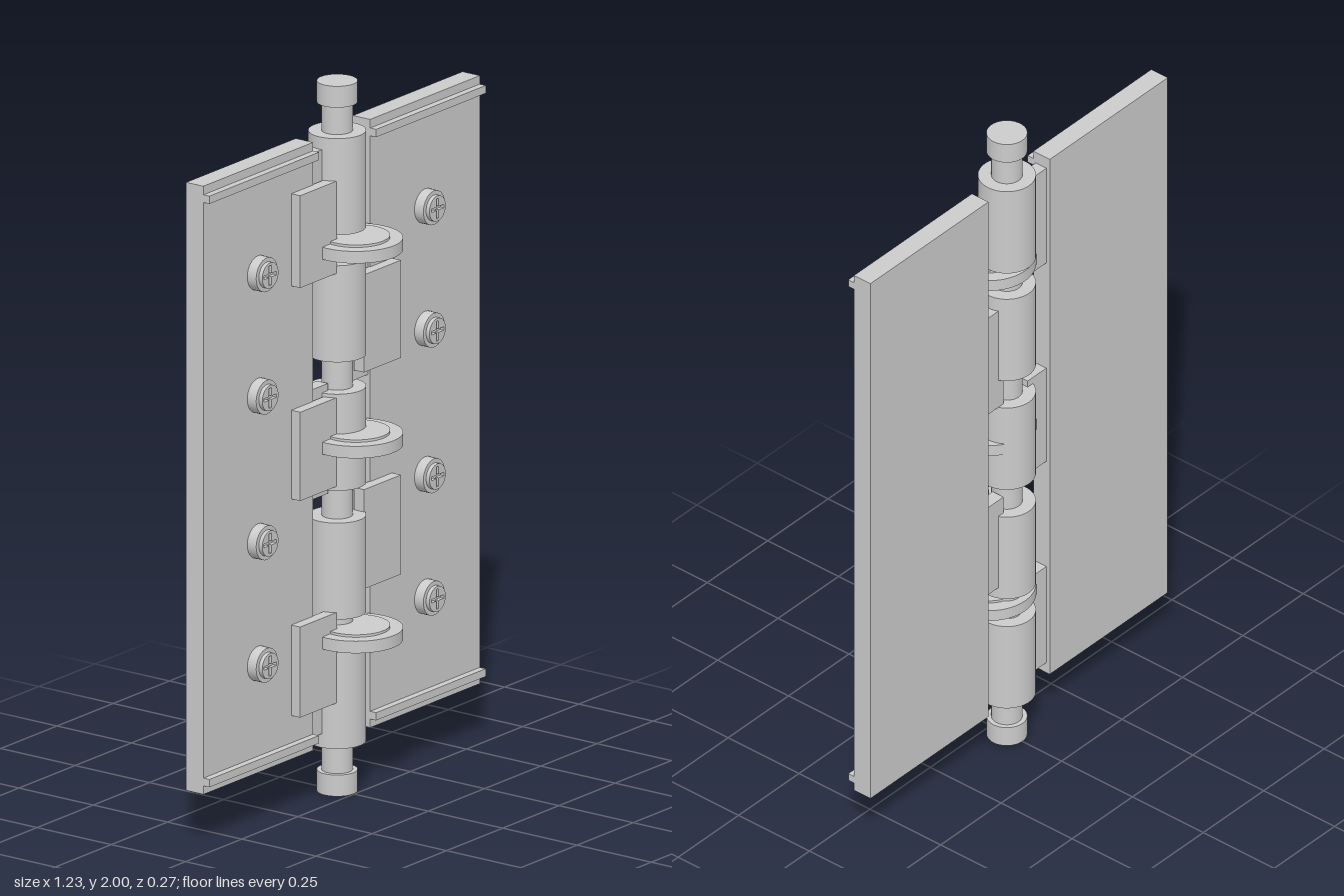
import * as THREE from 'three';

const steel = new THREE.MeshStandardMaterial({ color: 0xcccccc });
const PIN_Z = -0.057;

export function createModel() {
  const model = new THREE.Group();
  model.name = 'hinge';

  const add = (name, geometry, x, y, z, parent = model) => {
    const mesh = new THREE.Mesh(geometry, steel);
    mesh.name = name;
    mesh.position.set(x, y, z);
    parent.add(mesh);
    return mesh;
  };
  // Box given by its limits on each axis
  const block = (name, x0, x1, y0, y1, z0, z1, parent) =>
    add(name, new THREE.BoxGeometry(Math.abs(x1 - x0), y1 - y0, z1 - z0),
      (x0 + x1) / 2, (y0 + y1) / 2, (z0 + z1) / 2, parent);
  // Upright cylinder between two heights
  const rod = (name, r, y0, y1, z = PIN_Z, parent) =>
    add(name, new THREE.CylinderGeometry(r, r, y1 - y0, 48), 0, (y0 + y1) / 2, z, parent);

  // Pin with a cap at each end
  rod('pin', 0.042, 0.03, 1.97);
  rod('bottomCap', 0.055, 0, 0.06);
  rod('topCap', 0.055, 1.94, 2);

  // Five barrels along the pin
  for (const y of [0.277, 0.641, 1.004, 1.366, 1.724]) rod('barrel', 0.078, y - 0.136, y + 0.136);

  // Washers set forward of the pin, each with a raised centre
  for (const y of [0.455, 1.004, 1.553]) {
    const washer = new THREE.Group();
    washer.name = 'washer';
    rod('washerRim', 0.127, y - 0.017, y + 0.017, 0.006, washer);
    rod('washerCentre', 0.092, y - 0.024, y + 0.024, 0.006, washer);
    model.add(washer);
  }

  // Cross-slotted screw head
  const headShape = new THREE.Shape().absarc(0, 0, 0.036, 0, Math.PI * 2);
  const a = 0.005, b = 0.028;
  headShape.holes.push(new THREE.Path([
    [a, a], [a, b], [-a, b], [-a, a], [-b, a], [-b, -a],
    [-a, -a], [-a, -b], [a, -b], [a, -a], [b, -a], [b, a], [a, a],
  ].map(([x, y]) => new THREE.Vector2(x, y))));
  const headGeometry = new THREE.ExtrudeGeometry(headShape, { depth: 0.012, bevelEnabled: false, curveSegments: 24 });
  const flangeGeometry = new THREE.CylinderGeometry(0.048, 0.048, 0.032, 32).rotateX(Math.PI / 2);

  // Tabs [bottom, top] and the narrow arms behind them, for each leaf
  const sides = [
    { name: 'rightLeaf', s: -1, tabs: [[0.27, 0.525], [0.88, 1.13], [1.48, 1.74]], arms: [[0.18, 0.5], [0.85, 1.16], [1.51, 1.825]] },
    { name: 'leftLeaf', s: 1, tabs: [[0.56, 0.84], [1.17, 1.445]], arms: [[0.54, 0.83], [1.14, 1.46]] },
  ];
  for (const { name, s, tabs, arms } of sides) {
    const leaf = new THREE.Group();
    leaf.name = name;
    block('plate', s * 0.127, s * 0.615, 0.147, 1.86, -0.1, -0.042, leaf);
    // Raised ribs near the top and bottom edges
    for (const y of [0.182, 1.825]) block('rib', s * 0.127, s * 0.615, y - 0.011, y + 0.011, -0.045, -0.022, leaf);
    for (const [y0, y1] of tabs) block('tab', s * 0.06, s * 0.224, y0, y1, -0.045, -0.012, leaf);
    for (const [y0, y1] of arms) block('arm', s * 0.05, s * 0.135, y0, y1, -0.088, -0.05, leaf);
    for (const y of [0.455, 0.8, 1.21, 1.555]) {
      const screw = new THREE.Group();
      screw.name = 'screw';
      screw.position.set(s * 0.372, y, 0);
      add('screwFlange', flangeGeometry, 0, 0, -0.028, screw);
      add('screwHead', headGeometry, 0, 0, -0.0125, screw);
      leaf.add(screw);
    }
    model.add(leaf);
  }
  return model;
}
